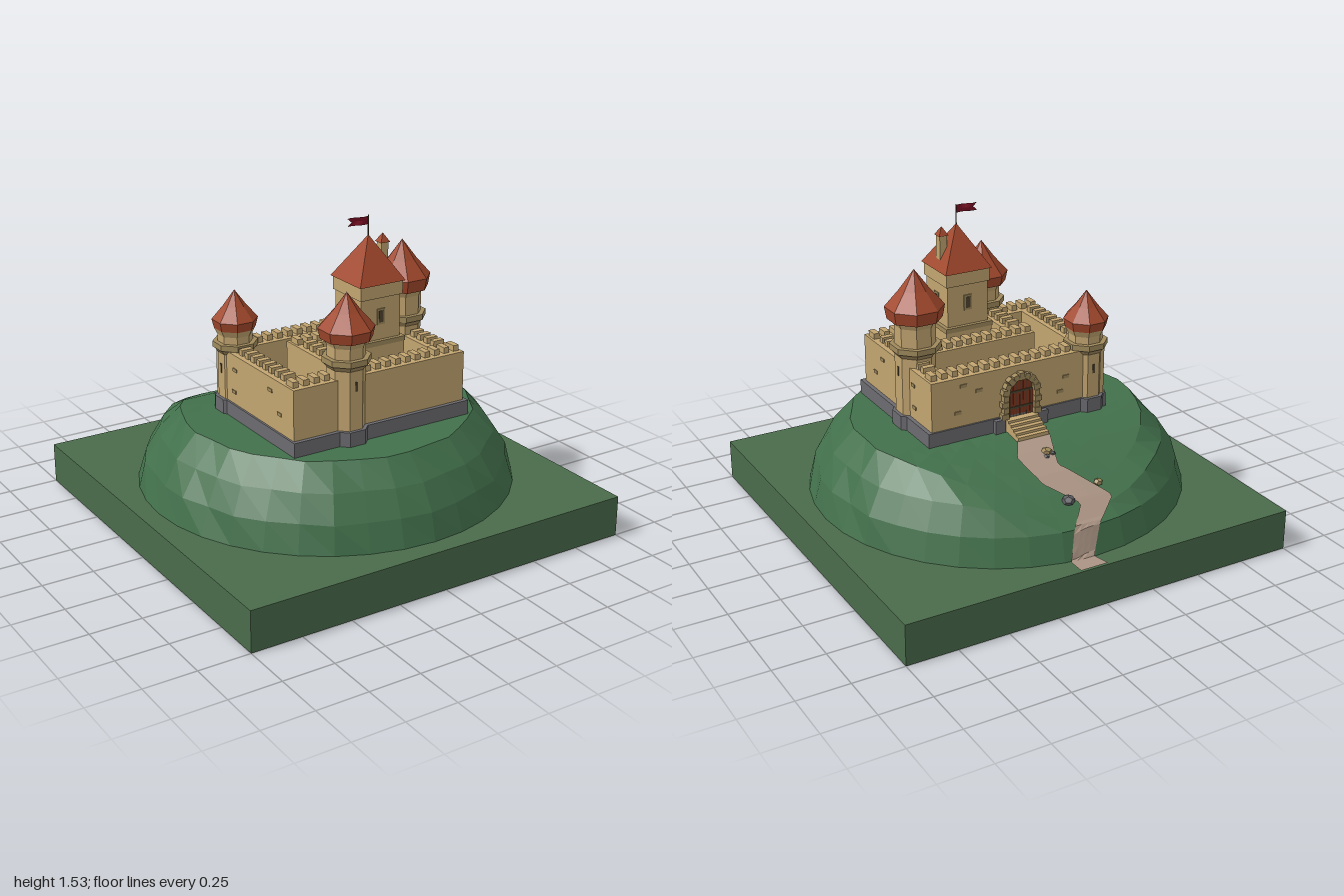
import * as THREE from 'three';

const mat = (color, side = THREE.FrontSide) => new THREE.MeshStandardMaterial({ color, flatShading: true, side });
const M = {
  ground: mat(0x4a6b4b), hill: mat(0x42704b), wall: mat(0xc2a570), trim: mat(0xa08a5c), plinth: mat(0x6c6c70),
  roof: mat(0xa2482c), path: mat(0xab9484, THREE.DoubleSide), door: mat(0x86361f), dark: mat(0x4f4430),
  flag: mat(0x7d1024, THREE.DoubleSide), rock: mat(0x606064),
};

function add(parent, name, geo, material, x = 0, y = 0, z = 0) {
  const m = new THREE.Mesh(geo, material);
  m.name = name;
  m.position.set(x, y, z);
  parent.add(m);
  return m;
}
// Box given by its min and max on each axis
const span = (p, name, m, x0, x1, y0, y1, z0, z1) =>
  add(p, name, new THREE.BoxGeometry(x1 - x0, y1 - y0, z1 - z0), m, (x0 + x1) / 2, (y0 + y1) / 2, (z0 + z1) / 2);

function group(parent, name, x = 0, y = 0, z = 0) {
  const g = new THREE.Group();
  g.name = name;
  g.position.set(x, y, z);
  parent.add(g);
  return g;
}

// Piecewise linear lookup in [key, value] pairs with rising keys
function lookup(pts, k) {
  if (k <= pts[0][0]) return pts[0][1];
  for (let i = 1; i < pts.length; i++) {
    const [a, va] = pts[i - 1], [b, vb] = pts[i];
    if (k <= b) return va + (vb - va) * (k - a) / (b - a);
  }
  return pts[pts.length - 1][1];
}

// Hill height: steep round sides, cut by a gentle slope at the back
const SIDE = [[0, 0.56], [0.7, 0.56], [0.8, 0.45], [0.87, 0.33], [0.91, 0.2]];
const BACK = [[-0.85, 0.335], [-0.75, 0.4], [-0.6, 0.475], [-0.45, 0.53], [-0.29, 0.56]];
const hillY = (x, z) => Math.min(lookup(SIDE, Math.hypot(x, z)), lookup(BACK, z));

function surface(points, cols, rows, closed) {
  const idx = [];
  for (let r = 0; r < rows - 1; r++) for (let c = 0; c < (closed ? cols : cols - 1); c++) {
    const a = r * cols + c, b = r * cols + (c + 1) % cols;
    idx.push(a, b, a + cols, b, b + cols, a + cols);
  }
  const g = new THREE.BufferGeometry();
  g.setAttribute('position', new THREE.Float32BufferAttribute(points, 3));
  g.setIndex(idx);
  g.computeVertexNormals();
  return g;
}

function hillGeometry() {
  const rings = [0.91, 0.87, 0.8, 0.7, 0.6, 0.52, 0.44, 0.36, 0.28, 0.15, 0], n = 36, pts = [];
  rings.forEach((r, j) => {
    for (let i = 0; i < n; i++) {
      const a = i / n * Math.PI * 2, x = Math.sin(a) * r, z = Math.cos(a) * r;
      const w = j > 0 && j < 4 && z > -0.3 ? 1 + 0.012 * Math.sin(i * 2.3 + j) : 1;
      pts.push(x * w, hillY(x, z), z * w);
    }
  });
  return surface(pts, n, rings.length, true);
}

// Winding path: each station is [z, left x, right x]
function pathGeometry() {
  const st = [[-1, 0, 0.14], [-0.915, 0.02, 0.14], [-0.77, -0.17, 0.0], [-0.64, -0.07, 0.12], [-0.56, -0.01, 0.14],
    [-0.47, -0.04, 0.155], [-0.36, -0.085, 0.09]];
  const L = st.map(s => [s[0], s[1]]), R = st.map(s => [s[0], s[2]]), pts = [];
  for (let i = 0; i <= 40; i++) {
    const z = -1 + 0.64 * i / 40, a = lookup(L, z), b = lookup(R, z);
    for (let k = 0; k <= 4; k++) {
      const x = a + (b - a) * k / 4;
      pts.push(x, hillY(x, z) + 0.009, z);
    }
  }
  return surface(pts, 5, 41, false);
}

// Octagonal prism with a flat side to the front; radii are measured to the flats
function oct(p, name, m, rTop, rBottom, y0, y1) {
  const k = 1 / Math.cos(Math.PI / 8);
  const g = new THREE.CylinderGeometry(rTop * k, rBottom * k, y1 - y0, 8).rotateY(Math.PI / 8);
  return add(p, name, g, m, 0, (y0 + y1) / 2, 0);
}

function tower(p, name, x, z, r, roofR, bandY, eave, drum, apex) {
  const g = group(p, name, x, 0, z);
  oct(g, 'towerPlinth', M.plinth, r + 0.016, r + 0.016, 0.54, 0.63);
  oct(g, 'towerShaft', M.wall, r, r, 0.63, eave);
  oct(g, 'towerBand', M.trim, r + 0.022, r + 0.022, bandY, bandY + 0.028);
  oct(g, 'towerBandCorbel', M.trim, r + 0.018, r, bandY - 0.025, bandY);
  oct(g, 'towerCornice', M.wall, r + 0.014, r, eave - 0.03, eave);
  const k = 1 / Math.cos(Math.PI / 8), h = apex - drum;
  const prof = [[0, eave], [roofR - 0.01, eave], [roofR, drum], [roofR * 0.5, drum + h * 0.46], [0, apex]];
  const roof = new THREE.LatheGeometry(prof.map(([a, b]) => new THREE.Vector2(a * k, b)), 8).rotateY(Math.PI / 8);
  add(g, 'towerRoof', roof, M.roof);
  // Arrow slits on the four main faces
  for (let i = 0; i < 4; i++) {
    const s = add(g, 'arrowSlit', new THREE.BoxGeometry(0.012, 0.045, 0.006), M.dark);
    const a = i * Math.PI / 2;
    s.position.set(Math.sin(a) * r, bandY - 0.1, Math.cos(a) * r);
    s.rotation.y = a;
  }
}

// Straight wall with a row of merlons along its longer side
function wall(p, name, x0, x1, z0, z1, top) {
  const g = group(p, name);
  span(g, 'wallBody', M.wall, x0, x1, 0.54, top, z0, z1);
  const alongX = x1 - x0 > z1 - z0, len = alongX ? x1 - x0 : z1 - z0;
  const n = Math.floor(len / 0.053), cx = (x0 + x1) / 2, cz = (z0 + z1) / 2;
  const geo = new THREE.BoxGeometry(alongX ? 0.03 : 0.06, 0.028, alongX ? 0.06 : 0.03);
  for (let i = 0; i < n; i++) {
    const d = (i + 0.5 - n / 2) * len / n;
    add(g, 'merlon', geo, M.wall, cx + (alongX ? d : 0), top + 0.014, cz + (alongX ? 0 : d));
  }
}

function archShape(w, h) {
  const s = new THREE.Shape();
  s.moveTo(-w, 0);
  s.lineTo(w, 0);
  s.lineTo(w, h);
  s.absarc(0, h, w, 0, Math.PI, false);
  return s;
}

// Arched gate with block surround, planked door and steps, facing the back
function gate(p) {
  const g = group(p, 'gate', 0.005, 0.62, -0.23);
  g.rotation.y = Math.PI;
  const w = 0.07, h = 0.12;
  add(g, 'gateDoor', new THREE.ExtrudeGeometry(archShape(w, h), { depth: 0.008, bevelEnabled: false, curveSegments: 8 }), M.door);
  for (let i = -3; i <= 3; i++) {
    const top = h + Math.sqrt(w * w - (i * 0.018) ** 2) - 0.005;
    span(g, 'doorSeam', M.dark, i * 0.018 - 0.0015, i * 0.018 + 0.0015, 0, top, 0.005, 0.01);
  }
  for (const y of [0.04, 0.12]) span(g, 'doorStrap', M.dark, -w, w, y, y + 0.01, 0.006, 0.012);
  for (const s of [-1, 1]) for (let i = 0; i < 4; i++) {
    const bw = i % 2 ? 0.026 : 0.036;
    add(g, 'jambBlock', new THREE.BoxGeometry(bw, 0.027, 0.034), M.trim, s * (w + bw / 2), 0.015 + i * 0.03, 0.013);
  }
  for (let i = 0; i < 9; i++) {
    const a = (i + 0.5) / 9 * Math.PI, r = w + 0.014;
    const b = add(g, 'archBlock', new THREE.BoxGeometry(i % 2 ? 0.028 : 0.036, 0.026, 0.034), M.trim);
    b.position.set(Math.cos(a) * r, h + Math.sin(a) * r, 0.013);
    b.rotation.z = a;
  }
  for (const s of [-1, 1]) add(g, 'gateFooting', new THREE.BoxGeometry(0.055, 0.08, 0.034), M.plinth, s * 0.115, -0.035, 0.013);
  for (let i = 0; i < 5; i++) span(g, 'step', M.wall, -0.083, 0.083, -0.09, -0.012 * i, 0, 0.045 + i * 0.023);
}

function keep(p) {
  const g = group(p, 'keep', 0.08, 0, 0.235);
  const box = (name, m, w, y0, y1) => span(g, name, m, -w, w, y0, y1, -w, w);
  box('keepBody', M.wall, 0.107, 0.54, 1.235);
  box('keepBase', M.wall, 0.122, 0.54, 0.945);
  box('keepBand', M.trim, 0.126, 0.945, 0.968);
  box('keepCornice', M.wall, 0.115, 1.17, 1.235);
  const roof = new THREE.ConeGeometry(0.124 * Math.SQRT2, 0.205, 4).rotateY(Math.PI / 4);
  add(g, 'keepRoof', roof, M.roof, 0, 1.3375, 0);
  // Framed windows on each side
  for (let i = 0; i < 4; i++) {
    const f = group(g, 'keepWindow');
    f.rotation.y = i * Math.PI / 2;
    add(f, 'windowFrame', new THREE.BoxGeometry(0.042, 0.075, 0.008), M.trim, 0, 1.08, 0.108);
    add(f, 'windowPane', new THREE.BoxGeometry(0.024, 0.055, 0.01), M.dark, 0, 1.08, 0.1085);
  }
  span(g, 'chimney', M.wall, 0.06, 0.098, 1.24, 1.395, -0.019, 0.019);
  add(g, 'chimneyCap', new THREE.ConeGeometry(0.025 * Math.SQRT2, 0.042, 4).rotateY(Math.PI / 4), M.roof, 0.079, 1.416, 0);
  add(g, 'flagPole', new THREE.CylinderGeometry(0.003, 0.003, 0.12, 6), M.dark, 0, 1.472, 0);
  // Rippling swallow-tailed flag
  const pts = [];
  for (let i = 0; i <= 8; i++) for (let k = 0; k <= 2; k++) {
    const t = i / 8, len = k === 1 ? 0.09 : 0.112;
    pts.push(-t * len, 1.49 + k * 0.019, 0.007 * Math.sin(t * 6));
  }
  add(g, 'flag', surface(pts, 3, 9, false), M.flag);
}

export function createModel() {
  const root = new THREE.Group();
  root.name = 'hillCastle';
  span(root, 'groundSlab', M.ground, -1, 1, 0, 0.2, -1, 1);
  add(root, 'hill', hillGeometry(), M.hill);
  add(root, 'path', pathGeometry(), M.path);

  // Stone footing and outer walls around an open courtyard
  const X0 = -0.465, X1 = 0.465, Z0 = -0.23, Z1 = 0.47, T = 0.11;
  const castle = group(root, 'castle');
  span(castle, 'plinthBack', M.plinth, X0 - 0.01, X1 + 0.02, 0.53, 0.63, Z0 - 0.008, Z0 + 0.1);
  span(castle, 'plinthFront', M.plinth, X0 - 0.01, X1 + 0.02, 0.53, 0.63, Z1 - 0.1, Z1 + 0.02);
  span(castle, 'plinthRight', M.plinth, X0 - 0.01, X0 + 0.1, 0.53, 0.63, Z0, Z1);
  span(castle, 'plinthLeft', M.plinth, X1 - 0.1, X1 + 0.02, 0.53, 0.63, Z0, Z1);
  wall(castle, 'backWall', X0, X1, Z0, Z0 + T, 0.872);
  wall(castle, 'frontWall', X0, X1, Z1 - T, Z1, 0.872);
  wall(castle, 'rightWall', X0, X0 + T, Z0 + T, Z1 - T, 0.872);
  wall(castle, 'leftWall', X1 - T, X1, Z0 + T, Z1 - T, 0.872);
  wall(castle, 'innerBackWall', -0.215, 0.37, 0, 0.1, 0.912);
  wall(castle, 'innerRightWall', -0.215, -0.11, 0.1, 0.37, 0.912);

  tower(castle, 'leftTower', 0.4, 0.05, 0.09, 0.13, 0.94, 1.09, 1.15, 1.325);
  tower(castle, 'frontTower', -0.16, 0.425, 0.083, 0.121, 0.94, 1.05, 1.1, 1.262);
  tower(castle, 'backRightTower', -0.395, -0.17, 0.077, 0.101, 0.875, 0.968, 1.012, 1.15);
  keep(castle);
  gate(castle);

  // Scattered raised bricks on the walls
  for (const [x, y] of [[-0.25, 0.76], [-0.22, 0.69], [0.22, 0.79], [0.33, 0.7], [0.3, 0.83]])
    add(castle, 'brick', new THREE.BoxGeometry(0.034, 0.016, 0.008), M.trim, x, y, Z0);
  for (const [z, y] of [[0.35, 0.72], [-0.05, 0.8], [-0.06, 0.69], [0.27, 0.81]])
    for (const x of [X0, X1]) add(castle, 'brick', new THREE.BoxGeometry(0.008, 0.016, 0.034), M.trim, x, y, z);

  // Boulders beside the path
  for (const [x, z, r, m] of [[0.05, -0.745, 0.03, M.rock], [-0.14, -0.695, 0.022, M.trim], [0, -0.475, 0.026, M.trim],
    [-0.02, -0.49, 0.016, M.rock], [0.015, -0.5, 0.015, M.rock]]) {
    const b = add(root, 'boulder', new THREE.DodecahedronGeometry(r), m, x, hillY(x, z) + r * 0.4, z);
    b.scale.y = 0.8;
    b.rotation.y = x * 20;
  }
  return root;
}
